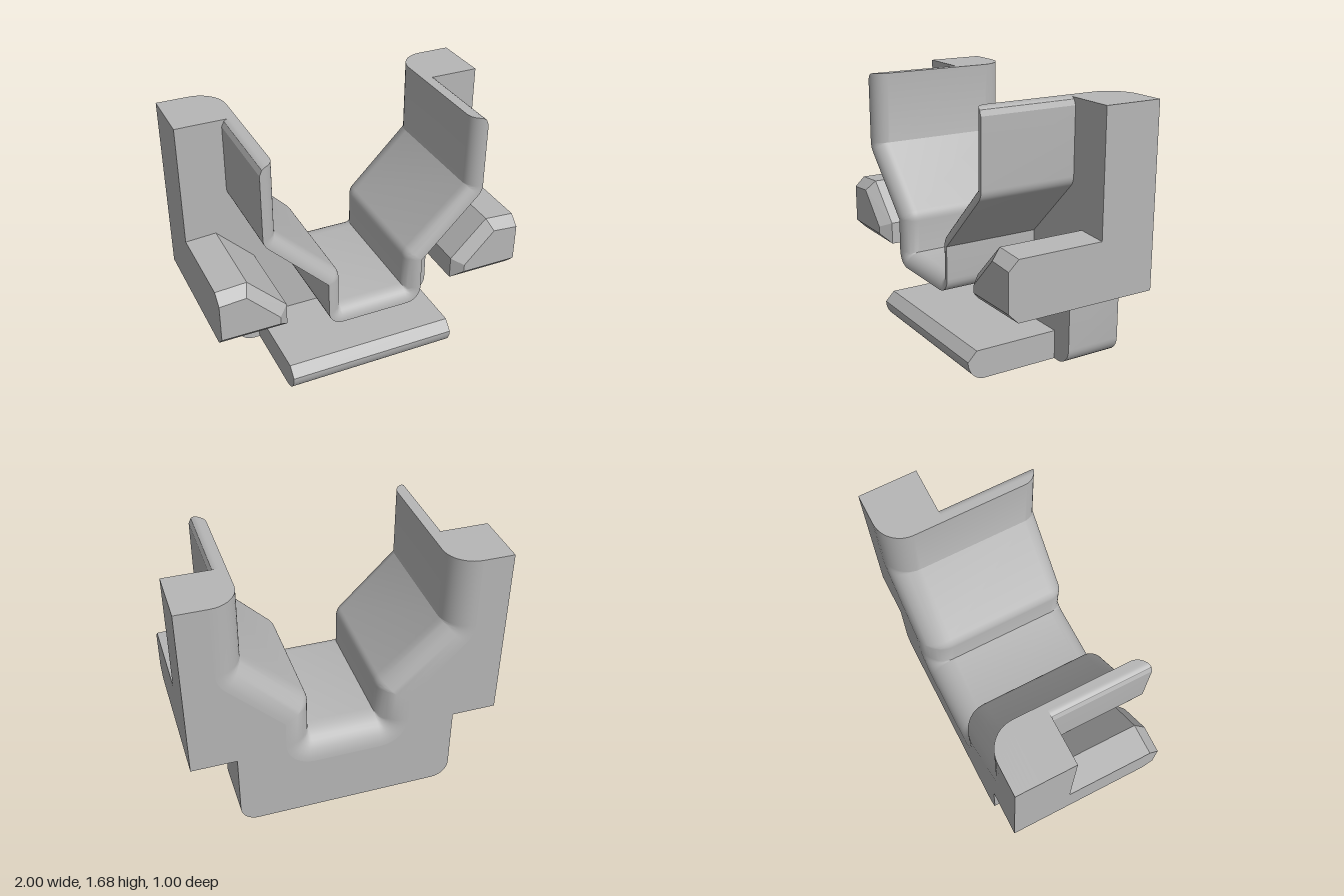
import * as THREE from 'three';
import { toCreasedNormals } from 'three/addons/utils/BufferGeometryUtils.js';
import { ConvexGeometry } from 'three/addons/geometries/ConvexGeometry.js';

const TOP = 1.68, BACK = -0.5, MID = -0.125, FRONT = 0.5;
const WALL = 0.095;   // cradle wall thickness and front rounding
const FLARE = 0.18;   // rounding of the rear channel edge
const LIP = 0.045;    // rounding of the outer top edge of the cradle
const N = 10;

const steps = (n, fn) => Array.from({ length: n + 1 }, (_, i) => fn(i / n));
const arc = (cx, cy, r, a0, a1, n = 6) => steps(n, (t) => {
  const a = THREE.MathUtils.degToRad(a0 + (a1 - a0) * t);
  return [cx + r * Math.cos(a), cy + r * Math.sin(a)];
});
const mirrored = (half) => [...half, ...half.map(([x, y]) => [-x, y]).reverse()];

// Channel outline pushed d into the solid, from the left top round to the right top
function channel(d, top = TOP) {
  const D = Math.max(d, WALL);
  return mirrored([
    [0.62 + d, top],
    ...arc(0.62, 1.22, d, 0, -45),
    ...arc(0.22 + D, 0.82 + D * (1 - Math.SQRT2), Math.max(WALL - d, 0), 135, 180),
    ...arc(0.22, 0.57, d, 0, -90),
  ]);
}

// Surface through rows of points
function loft(rows) {
  const w = rows[0].length, index = [];
  for (let i = 0; i < rows.length - 1; i++) {
    for (let j = 0; j < w - 1; j++) {
      const a = i * w + j, b = a + w;
      index.push(a, b, b + 1, a, b + 1, a + 1);
    }
  }
  const g = new THREE.BufferGeometry();
  g.setAttribute('position', new THREE.Float32BufferAttribute(rows.flat(2), 3));
  g.setIndex(index);
  return toCreasedNormals(g, 0.5);
}

const atZ = (pts, z) => pts.map(([x, y]) => [x, y, z]);

export function createModel() {
  const group = new THREE.Group();
  const grey = new THREE.MeshStandardMaterial({ color: 0xb6b6b6, side: THREE.DoubleSide });
  grey.name = 'grey';
  const add = (name, geometry, parent = group) => {
    const mesh = new THREE.Mesh(geometry, grey);
    mesh.name = name;
    parent.add(mesh);
    return mesh;
  };

  // Section of the channel as [offset, z]
  const frontArc = steps(N, (t) => [
    WALL * (1 - Math.sin(t * Math.PI / 2)), FRONT - WALL + WALL * Math.cos(t * Math.PI / 2)]);
  const backArc = steps(N, (t) => [
    FLARE * (1 - Math.cos(t * Math.PI / 2)), BACK + FLARE - FLARE * Math.sin(t * Math.PI / 2)]);
  const lipTop = (d) => {
    const k = Math.max(d - (WALL - LIP), 0);
    return TOP - LIP + Math.sqrt(Math.max(LIP * LIP - k * k, 0));
  };

  // Cradle: outer wall, rounded front edge, channel and flared rear edge
  const cradle = new THREE.Group();
  cradle.name = 'cradle';
  group.add(cradle);
  const front = [[WALL, MID], [WALL, FRONT], ...frontArc];
  add('cradleChannel', loft([
    ...front.map(([d, z]) => atZ(channel(d, lipTop(d)), z)),
    ...backArc.map(([d, z]) => atZ(channel(d), z)),
  ]), cradle);

  // Back plate: outer edge, front face and back face
  const plate = new THREE.Group();
  plate.name = 'backPlate';
  group.add(plate);
  const outline = mirrored([[1, TOP], [1, 0.53], [0.71, 0.53], ...arc(0.6, 0.11, 0.11, 0, -90, 8)]);
  add('plateEdge', loft([atZ(outline, BACK), atZ(outline, MID)]), plate);
  const face = (d) => new THREE.ShapeGeometry(new THREE.Shape(
    [...outline, ...channel(d).reverse()].map(([x, y]) => new THREE.Vector2(x, y))));
  add('plateFront', face(0).translate(0, 0, MID), plate);
  add('plateBack', face(FLARE).rotateY(Math.PI).translate(0, 0, BACK), plate);

  for (const s of [1, -1]) {
    const side = s > 0 ? 'left' : 'right';
    const sided = (rows) => rows.map((row) => {
      const r = row.map(([x, y, z]) => [s * x, y, z]);
      return s > 0 ? r : r.reverse();
    });

    // Top surfaces of the cradle wall and the plate
    add(side + 'CradleTop', loft(sided([...frontArc].reverse().map(([d, z]) => [
      [0.62 + d, lipTop(d), z], [0.62 + d, lipTop(d), MID]]))), cradle);
    add(side + 'PlateTop', loft(sided([[0, MID], ...backArc].map(([d, z]) => [
      [1, TOP, z], [0.62 + d, TOP, z]]))), plate);

    // Side bar with chamfered front
    const section = [[1, 0.53], [0.565, 0.53], [0.565, 0.675], [0.805, 0.915], [1, 0.902]];
    const tip = [[1, 0.595], [0.63, 0.595], [0.63, 0.645], [0.832, 0.853], [1, 0.84]];
    const points = [...atZ(section, MID - 0.01), ...atZ(section, 0.435), ...atZ(tip, FRONT)];
    add(side + 'Bar', new ConvexGeometry(points.map(([x, y, z]) => new THREE.Vector3(s * x, y, z))));
  }

  // Base tongue with chamfered and rounded nose
  const profile = new THREE.Shape();
  profile.moveTo(MID, 0);
  profile.lineTo(0.385, 0);
  profile.absellipse(0.385, 0.125, 0.115, 0.125, -Math.PI / 2, 0);
  profile.lineTo(0.44, 0.188);
  profile.lineTo(MID, 0.188);
  const tongue = new THREE.ExtrudeGeometry(profile, { depth: 1.12, bevelEnabled: false, curveSegments: 10 });
  tongue.rotateY(-Math.PI / 2).translate(0.56, 0, 0);
  add('baseTongue', toCreasedNormals(tongue, 0.5));

  return group;
}
